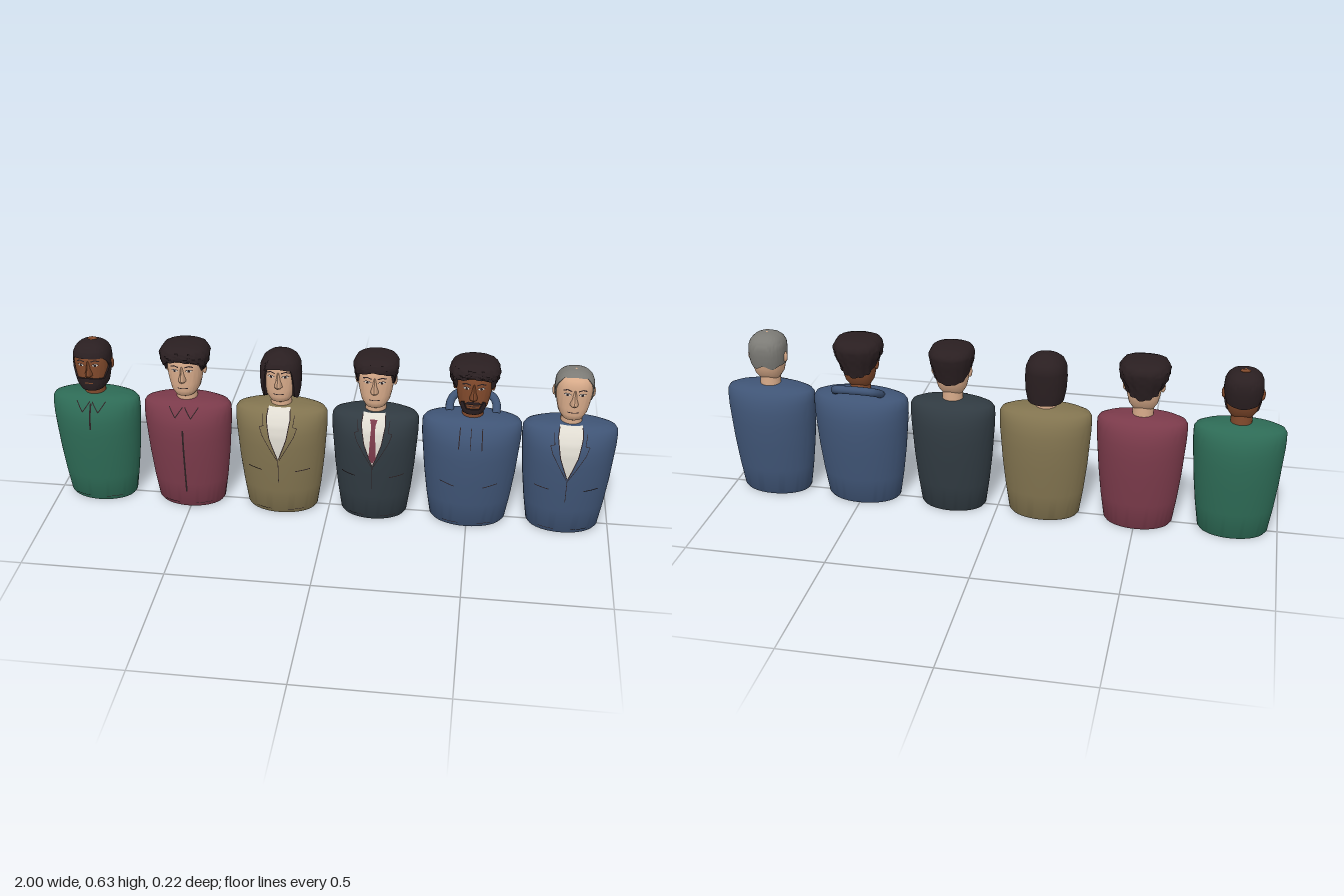
import * as THREE from 'three';
import { toCreasedNormals } from 'three/addons/utils/BufferGeometryUtils.js';

const colours = {
  green: 0x2d6a55, maroon: 0x7a3a4a, olive: 0x81734f, charcoal: 0x303a41, blue: 0x3f5475,
  lightSkin: 0xd8ab8a, brownSkin: 0x824a2c, darkHair: 0x2a1f21, greyHair: 0x7c7b76, white: 0xdedad0,
};
const mats = {};
for (const [name, color] of Object.entries(colours)) {
  mats[name] = new THREE.MeshStandardMaterial({ color, side: THREE.DoubleSide });
  mats[name].name = name;
}

// Cross-sections: [y, half width, front z, back z]
const BODY = [[0, 0, 0, 0], [0, .115, .08, -.08], [.01, .122, .087, -.087], [.1, .135, .097, -.096],
  [.2, .146, .104, -.104], [.28, .152, .108, -.108], [.33, .156, .105, -.105], [.365, .157, .096, -.098],
  [.39, .156, .08, -.085], [.403, .148, .069, -.073], [.412, .125, .058, -.06], [.42, .06, .045, -.045], [.42, 0, 0, 0]];
const HEAD = [[.44, 0, 0, 0], [.44, .026, .046, -.01], [.446, .038, .056, -.03], [.465, .05, .06, -.045],
  [.49, .056, .061, -.055], [.52, .061, .061, -.062], [.55, .063, .062, -.066], [.575, .061, .062, -.065],
  [.592, .053, .054, -.057], [.604, .04, .041, -.043], [.612, .022, .024, -.025], [.615, 0, 0, 0]];
const NOSE = [[.499, 0, 0, 0], [.5, .012, .07, 0], [.506, .021, .081, 0], [.514, .018, .089, 0],
  [.53, .012, .08, 0], [.55, .01, .07, 0], [.565, .01, .06, 0]];
const fullHair = (w, top) => [[.44, .05, .05, -.058], [.49, .056, .058, -.062], [.53, .066, .066, -.073],
  [.565, w * .95, .073, -.083], [.595, w, .076, -.088], [top - .012, w * .87, .068, -.078],
  [top - .003, w * .55, .042, -.05], [top, 0, 0, 0]];
const longHair = [[.44, .062, .052, -.068], [.48, .07, .062, -.072], [.53, .073, .067, -.076],
  [.57, .07, .069, -.078], [.592, .06, .06, -.068], [.607, .042, .042, -.048], [.617, .016, .016, -.02], [.62, 0, 0, 0]];

// Table lookup, used for sections and for hairlines
function lookup(table, v) {
  let i = 0;
  while (i < table.length - 2 && v > table[i + 1][0]) i++;
  const a = table[i], b = table[i + 1];
  const t = THREE.MathUtils.clamp((v - a[0]) / ((b[0] - a[0]) || 1), 0, 1);
  return a.slice(1).map((s, k) => s + (b[k + 1] - s) * t);
}

// Point on a rounded section; angle 0 is the front, quarter turn is +x
function point([hx, zf, zb], y, angle, n, off = 0) {
  const s = Math.sin(angle), c = Math.cos(angle), p = 2 / n;
  return [(hx + off) * Math.sign(s) * Math.abs(s) ** p, y,
    (c >= 0 ? zf + off : zb - off) * Math.abs(c) ** p];
}

// Joins rows of points into a surface
function grid(rows, closed) {
  const m = rows[0].length, index = [];
  for (let i = 0; i < rows.length - 1; i++) for (let j = 0; j < (closed ? m : m - 1); j++) {
    const k = (j + 1) % m, a = i * m, b = a + m;
    index.push(a + j, a + k, b + k, a + j, b + k, b + j);
  }
  const g = new THREE.BufferGeometry();
  g.setAttribute('position', new THREE.Float32BufferAttribute(rows.flat(2), 3));
  g.setIndex(index);
  return toCreasedNormals(g, .9);
}

function add(parent, name, geometry, mat) {
  const mesh = new THREE.Mesh(geometry, mats[mat]);
  mesh.name = name;
  parent.add(mesh);
  return mesh;
}

function loft(sections, n, cols = 56) {
  return grid(sections.map(([y, ...r]) => Array.from({ length: cols }, (_, j) =>
    point(r, y, j / cols * Math.PI * 2, n))), true);
}

// Shell over a lofted form between two border lines, with a turned-in lower edge
function shell(sections, low, high, { span = Math.PI, off = 0, curl = 0 } = {}) {
  const rows = [], R = 16, C = 96;
  for (let i = -1; i <= R; i++) {
    const row = [];
    for (let j = 0; j <= C; j++) {
      const a = (j / C * 2 - 1) * span, b = lookup(low, Math.abs(a))[0], t = lookup(high, Math.abs(a))[0];
      const v = Math.sin(Math.max(i, 0) / R * Math.PI / 2), y = b + (t - b) * v;
      const wave = curl * Math.sin(a * 13 + i * 1.1) * Math.cos(i * .9) * (1 - v * v);
      const grow = i < 0 ? -.014 : off * (v > .999 && span < 3 ? 0 : 1) + wave;
      row.push(point(lookup(sections, y), y, a, 2.4, grow));
    }
    rows.push(row);
  }
  return grid(rows, false);
}

// Thin plate laid on the front of a form; each edge is [x left, y left, x right, y right]
function plate(sections, n, edges, off) {
  const rows = [];
  for (let e = 0; e < edges.length - 1; e++) for (let i = 0; i <= 8; i++) {
    const [xa, ya, xb, yb] = edges[e].map((v, k) => v + (edges[e + 1][k] - v) * i / 8);
    rows.push(Array.from({ length: 7 }, (_, j) => {
      const x = xa + (xb - xa) * j / 6, y = ya + (yb - ya) * j / 6, [hx, zf] = lookup(sections, y);
      return [x, y, zf * Math.max(0, 1 - Math.abs(x / hx) ** n) ** (1 / n) + off];
    }));
  }
  return grid(rows, false);
}

// Seam or brow drawn as narrow plates along a path
function stroke(parent, name, sections, n, path, w = .0016, off = .004) {
  for (let i = 0; i < path.length - 1; i++) {
    const [x, y] = path[i], [u, v] = path[i + 1], l = Math.hypot(u - x, v - y);
    const dx = -(v - y) / l * w, dy = (u - x) / l * w;
    add(parent, name, plate(sections, n, [[x - dx, y - dy, x + dx, y + dy], [u - dx, v - dy, u + dx, v + dy]], off), 'darkHair');
  }
}
const mirror = (path, s) => path.map(([x, y]) => [x * s, y]);

// Hairlines: [angle from the front, y]
const cropLine = [[0, .572], [.8, .57], [1.15, .55], [1.4, .52], [1.55, .545], [1.9, .53], [2.2, .5], [3.15, .488]];
const fullLine = [[0, .588], [.5, .578], [.95, .57], [1.2, .53], [1.45, .525], [1.7, .54], [2.1, .505], [3.15, .488]];
const sweptLine = [[0, .585], [.6, .575], [1, .555], [1.3, .53], [1.7, .54], [2.1, .515], [3.15, .49]];
const longLine = [[0, .576], [.62, .568], [.85, .46], [1.2, .448], [3.15, .444]];
const greyLine = [[0, .603], [.8, .598], [1.1, .57], [1.35, .54], [1.47, .502], [2.2, .502], [2.7, .49], [3.15, .505]];

const people = [
  { name: 'greenShirtBust', x: -.842, w: .158, d: .95, cloth: 'green', skin: 'brownSkin', line: cropLine, outfit: 'shirt', seam: [.31, .40], beard: true },
  { name: 'maroonShirtBust', x: -.508, w: .157, d: .95, cloth: 'maroon', skin: 'lightSkin', line: sweptLine, hair: fullHair(.088, .627), curl: .004, outfit: 'shirt', seam: [.07, .33] },
  { name: 'oliveSuitBust', x: -.17, w: .163, d: .95, cloth: 'olive', skin: 'lightSkin', line: longLine, hair: longHair, outfit: 'suit' },
  { name: 'charcoalSuitBust', x: .163, w: .152, d: .93, cloth: 'charcoal', skin: 'lightSkin', line: fullLine, hair: fullHair(.079, .624), curl: .002, outfit: 'suit', tie: true },
  { name: 'blueHoodieBust', x: .5, w: .173, d: 1, cloth: 'blue', skin: 'brownSkin', line: fullLine, hair: fullHair(.087, .627), curl: .004, outfit: 'hoodie', goatee: true },
  { name: 'blueSuitBust', x: .837, w: .163, d: .95, cloth: 'blue', skin: 'lightSkin', hairColour: 'greyHair', line: greyLine, outfit: 'suit' },
];

function clothes(g, p, body) {
  const line = (name, path, w) => stroke(g, name, body, 2, path, w);
  if (p.outfit === 'suit') {
    add(g, 'shirtFront', plate(body, 2, [[-.002, .24, .002, .24], [-.03, .32, .03, .32], [-.042, .39, .042, .39], [-.038, .419, .038, .419]], .003), 'white');
    line('frontSeam', [[0, .24], [0, .14]], .001);
    if (p.tie) add(g, 'tie', plate(body, 2, [[-.001, .25, .001, .25], [-.013, .27, .013, .27], [-.007, .385, .007, .385], [-.013, .405, .013, .405]], .006), 'maroon');
  } else if (p.outfit === 'shirt') {
    line('placket', [[0, p.seam[0]], [0, p.seam[1]]], .003);
  } else {
    line('zip', [[0, .33], [0, .40]], .001);
  }
  for (const s of [-1, 1]) {
    if (p.outfit === 'suit') {
      line('lapelInnerEdge', mirror([[.002, .24], [.03, .32], [.042, .39], [.039, .415]], s));
      line('lapelOuterEdge', mirror([[.004, .235], [.056, .33], [.066, .36], [.052, .365], [.056, .40]], s), .001);
      line('pocketSeam', mirror([[.06, .188], [.11, .192]], s));
    } else if (p.outfit === 'shirt') {
      line('collarEdge', mirror([[.004, .405], [.028, .372], [.052, .405]], s));
    } else {
      line('drawstring', mirror([[.04, .33], [.038, .40]], s));
      line('pocketSeam', mirror([[.05, .178], [.1, .19]], s));
    }
    line('hemSeam', mirror([[.03, .02], [.085, .02]], s), .001);
  }
  if (p.outfit === 'hoodie') {
    // Hood roll, tilted back behind the neck
    const path = new THREE.CatmullRomCurve3([[-.08, .41, -.015], [-.08, .432, -.05], [-.062, .448, -.078], [0, .452, -.084],
      [.062, .448, -.078], [.08, .432, -.05], [.08, .41, -.015]].map(v => new THREE.Vector3(...v)));
    add(g, 'hood', new THREE.TubeGeometry(path, 40, .0145, 12), p.cloth);
  }
}

function face(g, p) {
  const put = (name, edges, off, mat) => add(g, name, plate(HEAD, 2.4, edges, off), mat);
  add(g, 'nose', loft(NOSE, 2, 24), p.skin);
  for (const s of [-1, 1]) {
    const x = s * .025;
    put('eyeWhite', [[x - .004, .541, x + .004, .541], [x - .011, .545, x + .011, .545], [x - .005, .5495, x + .005, .5495]], .0015, 'white');
    put('iris', [[x - .003, .541, x + .003, .541], [x - .0045, .545, x + .0045, .545], [x - .003, .549, x + .003, .549]], .003, 'darkHair');
    stroke(g, 'upperEyelid', HEAD, 2.4, mirror([[.012, .546], [.02, .551], [.031, .551], [.038, .546]], s), .001, .003);
    stroke(g, 'eyebrow', HEAD, 2.4, mirror([[.011, .56], [.026, .565], [.04, .559]], s), .002, .003);
    const ear = add(g, 'ear', new THREE.SphereGeometry(1, 16, 12), p.skin);
    ear.scale.set(.008, .02, .012);
    ear.position.set(s * .065, .527, -.008);
  }
  if (p.beard) {
    add(g, 'beard', shell(HEAD, [[0, .441], [.9, .442], [1.6, .46]], [[0, .496], [.5, .493], [.9, .49], [1.35, .535], [1.6, .535]], { span: 1.55, off: .006 }), 'darkHair');
    put('lips', [[-.014, .477, .014, .477], [-.016, .481, .016, .481]], .009, p.skin);
  } else {
    stroke(g, 'mouth', HEAD, 2.4, [[-.019, .479], [0, .477], [.019, .479]], .0015, .003);
  }
  if (p.goatee) {
    add(g, 'goatee', shell(HEAD, [[0, .441], [1, .444]], [[0, .467], [.35, .468], [.5, .494], [.7, .49], [1, .47]], { span: .75, off: .006 }), 'darkHair');
    put('moustache', [[-.032, .485, .032, .485], [-.018, .497, .018, .497]], .005, 'darkHair');
  }
}

export function createModel() {
  const model = new THREE.Group();
  model.name = 'rowOfBusts';
  for (const p of people) {
    const g = new THREE.Group();
    g.name = p.name;
    g.position.x = p.x;
    const body = BODY.map(([y, hx, zf, zb]) => [y, hx * p.w / .157, zf * p.d, zb * p.d]);
    add(g, 'torso', loft(body, 2, 72), p.cloth);
    add(g, 'neck', new THREE.CylinderGeometry(.036, .037, .07, 32), p.skin).position.y = .44;
    add(g, 'head', loft(HEAD, 2.4), p.skin);
    const top = p.hair ? p.hair.at(-1)[0] : .615;
    const off = p.hair ? 0 : .004;
    add(g, 'hair', shell(p.hair || HEAD, p.line, [[0, top], [4, top]], { off, curl: p.curl }), p.hairColour || 'darkHair');
    if (p.beard) {
      // Small bare patch at the crown
      const crown = add(g, 'crownPatch', new THREE.SphereGeometry(1, 20, 10), p.skin);
      crown.scale.set(.017, .005, .012);
      crown.position.set(0, .613, -.016);
    }
    clothes(g, p, body);
    face(g, p);
    model.add(g);
  }
  return model;
}
